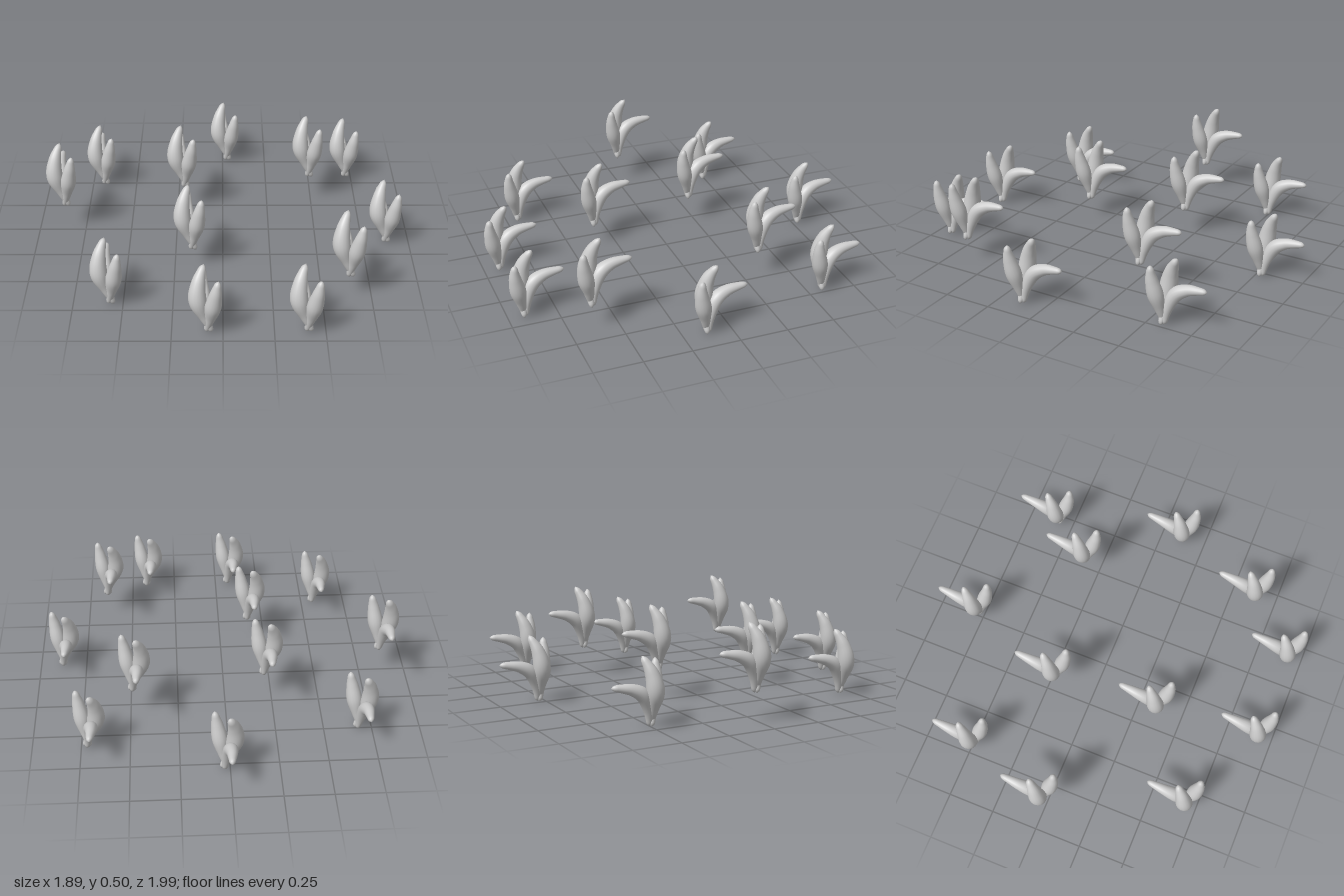
import * as THREE from 'three';
import { mergeVertices } from 'three/addons/utils/BufferGeometryUtils.js';

// A smooth blade: a tube along a curve, swollen by a radius profile, with rounded ends
function blade(points, radii) {
  const curve = new THREE.CatmullRomCurve3(points.map(p => new THREE.Vector3(...p)));
  const profile = new THREE.SplineCurve(radii.map(([t, r]) => new THREE.Vector2(t, r)));
  const segments = 36, sides = 16;
  const tube = new THREE.TubeGeometry(curve, segments, 1, sides);
  const pos = tube.attributes.position;
  const v = new THREE.Vector3();
  for (let i = 0; i <= segments; i++) {
    const t = i / segments;
    const centre = curve.getPointAt(t);
    const cap = Math.sqrt(Math.min(1, t / 0.04) * Math.min(1, (1 - t) / 0.06));
    const r = profile.getPoint(t).y * cap;
    for (let j = 0; j <= sides; j++) {
      const k = i * (sides + 1) + j;
      v.fromBufferAttribute(pos, k).sub(centre).multiplyScalar(r).add(centre);
      pos.setXYZ(k, v.x, v.y, v.z);
    }
  }
  // weld the seam so the shading stays smooth all round
  tube.deleteAttribute('uv');
  tube.deleteAttribute('normal');
  const geometry = mergeVertices(tube, 1e-5);
  geometry.computeVertexNormals();
  return geometry;
}

export function createModel() {
  const model = new THREE.Group();
  model.name = 'sproutField';
  const material = new THREE.MeshStandardMaterial({ color: 0xcccccc });

  // Three blades of one sprout, relative to the tip of the back blade
  const blades = {
    tallBlade: blade(
      [[0.045, 0.004, 0.225], [0.008, 0.09, 0.224], [-0.025, 0.19, 0.22], [-0.019, 0.28, 0.2], [0.006, 0.358, 0.163]],
      [[0, 0.013], [0.25, 0.026], [0.5, 0.044], [0.75, 0.034], [1, 0.015]]),
    sideBlade: blade(
      [[0.016, 0.004, 0.22], [0.036, 0.09, 0.235], [0.054, 0.19, 0.256], [0.065, 0.26, 0.267], [0.076, 0.328, 0.268]],
      [[0, 0.013], [0.25, 0.025], [0.5, 0.04], [0.75, 0.031], [1, 0.014]]),
    backBlade: blade(
      [[0.03, 0.004, 0.214], [0.017, 0.09, 0.201], [0.002, 0.168, 0.165], [-0.003, 0.2, 0.11], [-0.001, 0.213, 0.05], [0.002, 0.219, 0]],
      [[0, 0.013], [0.25, 0.026], [0.5, 0.036], [0.75, 0.026], [1, 0.014]]),
  };

  // Sprout positions: x, height, z
  const places = [
    [0, 0, -1], [-0.706, 0, -0.714], [0.69, 0, -0.8], [-0.235, 0.148, -0.43],
    [0.458, 0.15, -0.54], [-0.876, 0.146, -0.233], [0.85, 0, -0.095], [-0.183, 0.11, 0.143],
    [-0.59, 0, 0.466], [0.61, 0.125, 0.413], [-0.098, 0, 0.698], [0.389, 0, 0.695],
  ];
  places.forEach((place, i) => {
    const sprout = new THREE.Group();
    sprout.name = `sprout${i + 1}`;
    sprout.position.set(...place);
    for (const [name, geometry] of Object.entries(blades)) {
      const mesh = new THREE.Mesh(geometry, material);
      mesh.name = name;
      sprout.add(mesh);
    }
    model.add(sprout);
  });
  return model;
}
